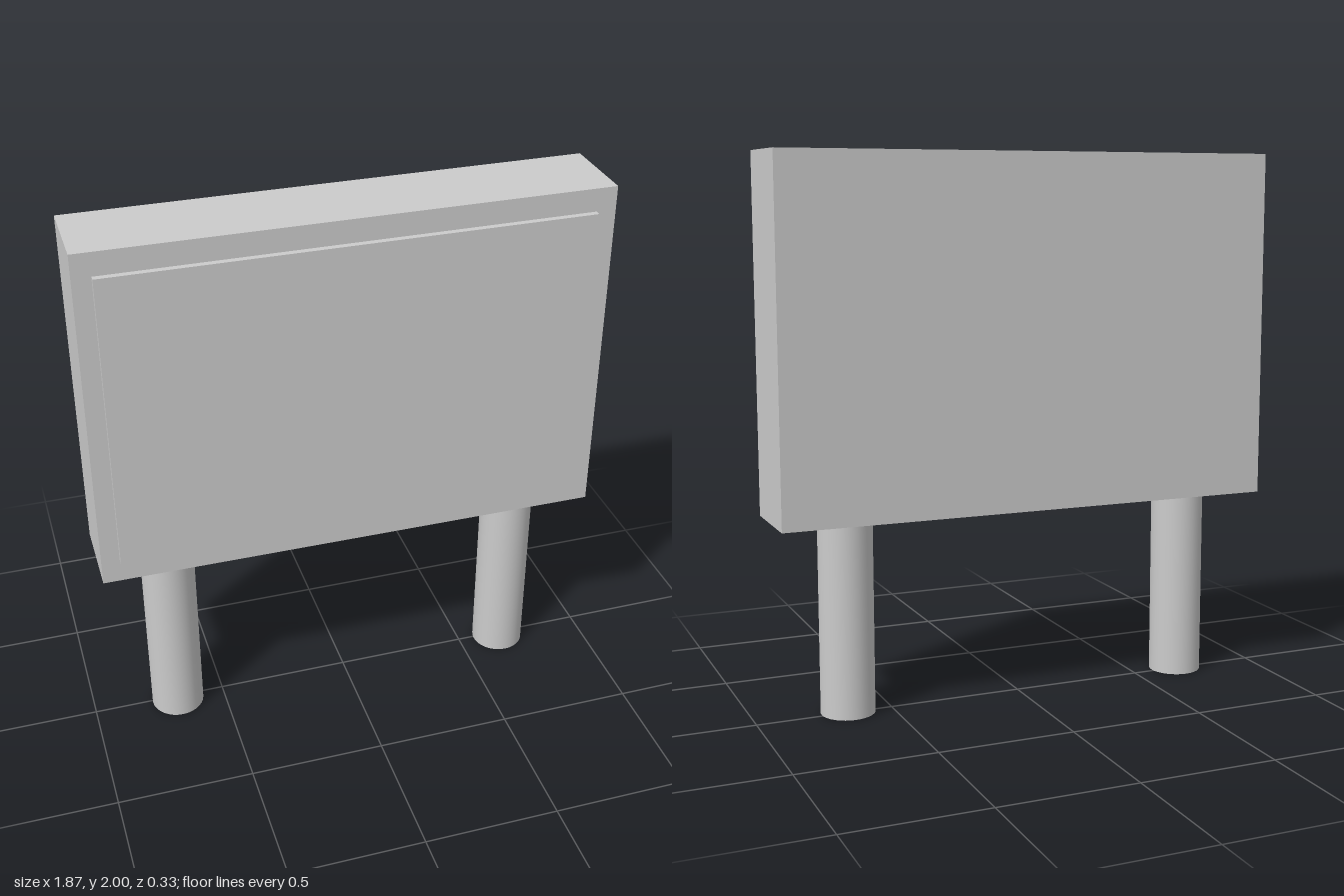
import * as THREE from 'three';

export function createModel() {
  const model = new THREE.Group();
  const material = new THREE.MeshStandardMaterial({ color: 0xcccccc });

  function add(name, geometry, x, y, z) {
    const mesh = new THREE.Mesh(geometry, material);
    mesh.name = name;
    mesh.position.set(x, y, z);
    model.add(mesh);
  }

  // Box-shaped body of the sign
  const bottom = 0.72, back = -0.167, front = 0.145;
  add('cabinet', new THREE.BoxGeometry(1.868, 2 - bottom, front - back),
    0, (2 + bottom) / 2, (front + back) / 2);

  // Thin raised panel on the front
  const panelDepth = 0.022;
  add('displayPanel', new THREE.BoxGeometry(1.73, 1.107, panelDepth),
    -0.003, 1.362, front + panelDepth / 2);

  // Two round posts, set slightly off centre
  const post = new THREE.CylinderGeometry(0.099, 0.099, bottom, 32);
  add('rightPost', post, -0.68, bottom / 2, 0.012);
  add('leftPost', post, 0.661, bottom / 2, 0.012);

  return model;
}
